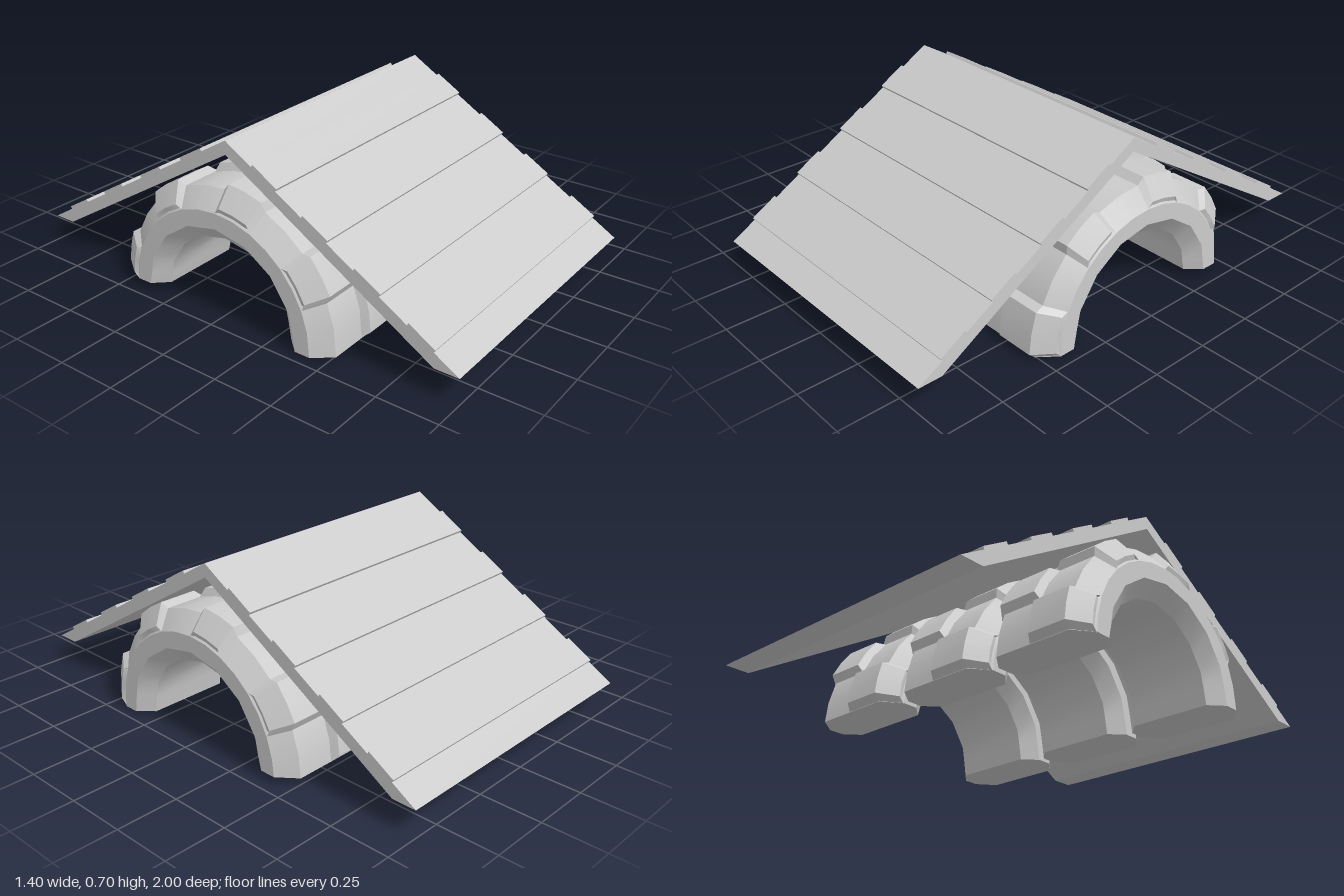
import * as THREE from 'three';
import { toCreasedNormals } from 'three/addons/utils/BufferGeometryUtils.js';

const material = new THREE.MeshStandardMaterial({ color: 0xcccccc });
const CENTRE_Y = 0.015;
const STEP = Math.PI / 8;

// Point on an arch: x across the tyre, r from the axle, a from the front foot
function archPoint([x, r], a) {
  return [x, CENTRE_Y + r * Math.sin(a), r * Math.cos(a)];
}

// Solid through a list of rings of points, capped at both ends
function loft(rings) {
  const n = rings[0].length;
  const out = [];
  const tri = (a, b, c) => out.push(...a, ...b, ...c);
  for (let i = 0; i < rings.length - 1; i++) {
    for (let k = 0; k < n; k++) {
      const j = (k + 1) % n;
      tri(rings[i][k], rings[i][j], rings[i + 1][j]);
      tri(rings[i][k], rings[i + 1][j], rings[i + 1][k]);
    }
  }
  const first = rings[0], last = rings[rings.length - 1];
  for (let k = 1; k < n - 1; k++) {
    tri(first[0], first[k + 1], first[k]);
    tri(last[0], last[k], last[k + 1]);
  }
  const geometry = new THREE.BufferGeometry();
  geometry.setAttribute('position', new THREE.Float32BufferAttribute(out, 3));
  return toCreasedNormals(geometry, 0.5);
}

// Half tyre body; the bore is faceted, the outside is rounder
function tyreGeometry() {
  const section = [[-0.165, 0.505], [0.165, 0.505], [0.225, 0.43], [0.225, 0.365],
    [0.17, 0.305], [-0.17, 0.305], [-0.225, 0.365], [-0.225, 0.43]];
  const rings = [];
  for (let i = 0; i <= 16; i++) {
    const bore = i % 2 ? Math.cos(STEP / 2) : 1;
    const ring = section.map(([x, r]) => archPoint([x, r < 0.4 ? r * bore : r], i * STEP / 2));
    // Flat feet
    if (i === 0) ring.forEach(p => { p[1] = 0; });
    if (i === 16) ring.forEach(p => { p[1] = 0.03; });
    rings.push(ring);
  }
  return loft(rings);
}

// Bevelled tread block over one half of the tread and its shoulder
function lugGeometry(index, side) {
  const low = [[-0.015, 0.49], [-0.01, 0.503], [0.165, 0.503], [0.223, 0.43], [0.2, 0.41]];
  const high = [[-0.015, 0.49], [0.008, 0.534], [0.17, 0.534], [0.225, 0.455], [0.21, 0.41]];
  const a0 = index === 0 ? -0.028 : index * STEP;
  const a1 = index === 7 ? Math.PI - 0.03 : (index + 1) * STEP;
  const bevel = 0.05;
  const place = (section, a) => {
    const ring = section.map(([x, r]) => archPoint([x * side, r], a));
    return side < 0 ? ring.reverse() : ring;
  };
  return loft([
    place(low, a0), place(high, a0 + bevel), place(high, (a0 + a1) / 2),
    place(high, a1 - bevel), place(low, a1)
  ]);
}

// Gable roof profile with alternating raised boards on both slopes
function roofGeometry() {
  const ridge = 0.705, fall = 0.595, lift = 0.012;
  const slopeLength = Math.hypot(1, fall);
  const nz = fall / slopeLength * lift, ny = lift / slopeLength;
  const top = z => [z, ridge - fall * z];
  const half = [];
  for (const z of [0.12, 0.343, 0.566, 0.789]) {
    const [z0, y0] = top(z), [z1, y1] = top(z + 0.108);
    half.push([z0, y0], [z0 + nz, y0 + ny], [z1 + nz, y1 + ny], [z1, y1]);
  }
  half.push([1, 0.11], [0.9, 0.11]);
  const mirrored = half.map(([z, y]) => [-z, y]).reverse();
  const outline = [[0, ridge], ...half, [0, 0.65], ...mirrored];
  const shape = new THREE.Shape(outline.map(([z, y]) => new THREE.Vector2(z, y)));
  const geometry = new THREE.ExtrudeGeometry(shape, { depth: 1.245, bevelEnabled: false });
  geometry.rotateY(Math.PI / 2);
  geometry.translate(-0.63, 0, 0);
  return geometry;
}

export function createModel() {
  const model = new THREE.Group();
  model.name = 'tyreShelter';

  const add = (parent, geometry, name) => {
    const mesh = new THREE.Mesh(geometry, material);
    mesh.name = name;
    parent.add(mesh);
  };

  // Three half tyres side by side, tread blocks alternating left and right
  const body = tyreGeometry();
  const lugs = [];
  for (let i = 0; i < 8; i++) lugs.push(lugGeometry(i, i % 2 ? -1 : 1));
  [-0.478, 0, 0.476].forEach((x, t) => {
    const tyre = new THREE.Group();
    tyre.name = `halfTyre${t + 1}`;
    tyre.position.x = x;
    add(tyre, body, 'tyreBody');
    lugs.forEach((lug, i) => add(tyre, lug, `treadBlock${i + 1}`));
    model.add(tyre);
  });

  // Boarded roof
  add(model, roofGeometry(), 'roof');
  return model;
}
